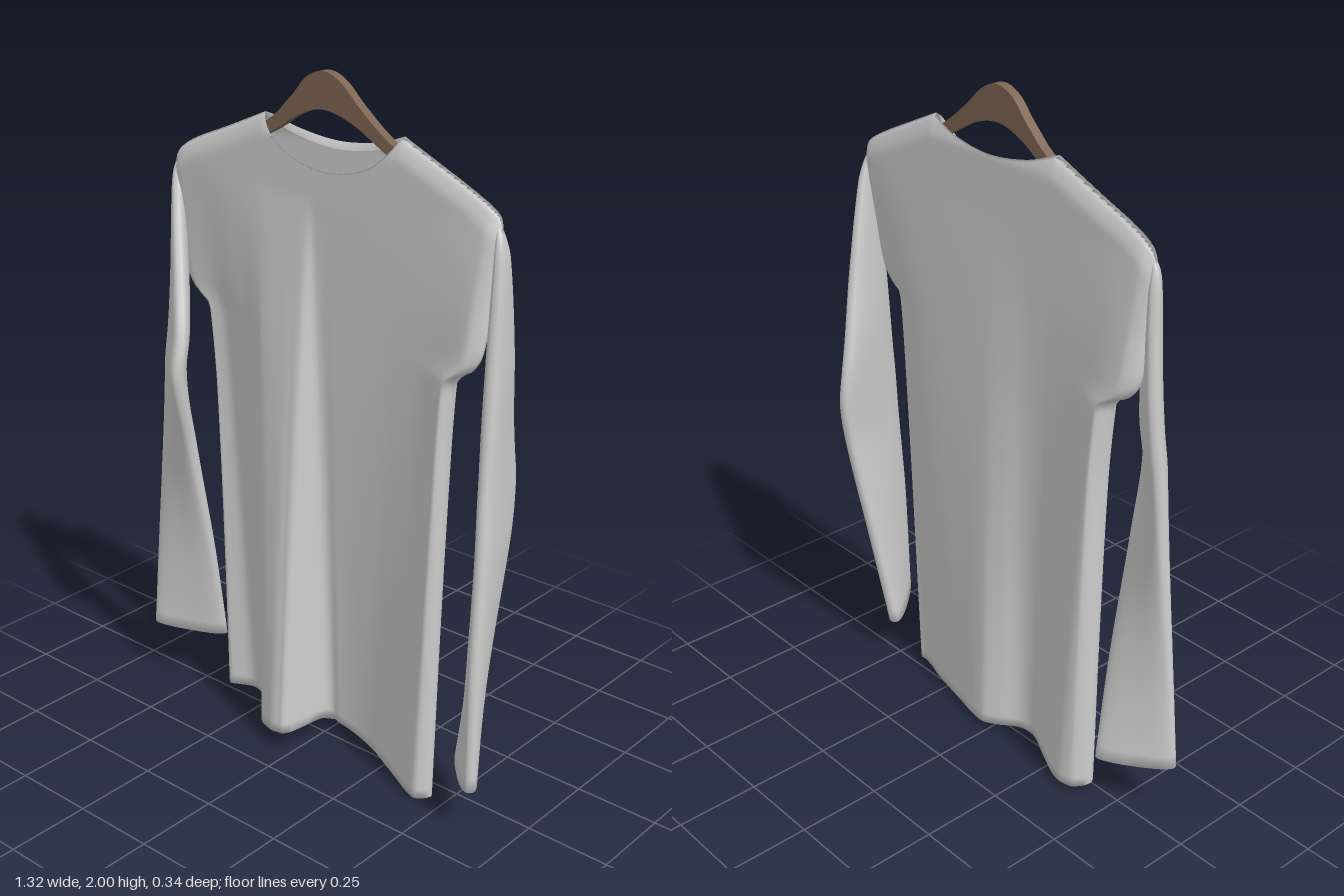
import * as THREE from 'three';

const fabric = new THREE.MeshStandardMaterial({ color: 0xcdcdcd, side: THREE.DoubleSide });
fabric.name = 'light grey fabric';
const wood = new THREE.MeshStandardMaterial({ color: 0x7d6552 });
wood.name = 'brown wood';

const lerp = THREE.MathUtils.lerp, clamp = THREE.MathUtils.clamp;

// Smooth interpolation through [t, value, value...] keys sorted by rising t
function track(keys, k = 1) {
  const slope = (i) => {
    const a = keys[Math.max(i - 1, 0)], b = keys[Math.min(i + 1, keys.length - 1)];
    return (b[k] - a[k]) / (b[0] - a[0]);
  };
  return (t) => {
    if (t <= keys[0][0]) return keys[0][k];
    if (t >= keys[keys.length - 1][0]) return keys[keys.length - 1][k];
    let i = 0;
    while (t > keys[i + 1][0]) i++;
    const p = keys[i], q = keys[i + 1], h = q[0] - p[0], s = (t - p[0]) / h;
    const s2 = s * s, s3 = s2 * s;
    return (2 * s3 - 3 * s2 + 1) * p[k] + (s3 - 2 * s2 + s) * h * slope(i)
      + (3 * s2 - 2 * s3) * q[k] + (s3 - s2) * h * slope(i + 1);
  };
}

// Skin over closed rings, listed from top to bottom
function loft(rings) {
  const n = rings[0].length, index = [];
  for (let i = 0; i < rings.length - 1; i++) {
    for (let j = 0; j < n; j++) {
      const a = i * n + j, b = i * n + (j + 1) % n;
      index.push(a, a + n, b, b, a + n, b + n);
    }
  }
  const g = new THREE.BufferGeometry();
  g.setAttribute('position', new THREE.Float32BufferAttribute(rings.flat(2), 3));
  g.setIndex(index);
  g.computeVertexNormals();
  return g;
}

function makeBody() {
  const X0 = -0.555, X1 = 0.595, N0 = -0.2, N1 = 0.28, RIDGE = 1.865;
  // Outline: shoulders, necklines, side seams
  const shoulderR = track([[N1, RIDGE], [0.4, 1.81], [0.5, 1.763], [0.56, 1.73], [0.585, 1.705], [X1, 1.66]]);
  const shoulderL = track([[X0, 1.65], [-0.545, 1.695], [-0.525, 1.722], [-0.47, 1.755], [-0.35, 1.803], [N0, RIDGE]]);
  const neckFront = track([[N0, RIDGE], [-0.16, 1.815], [-0.09, 1.766], [0.04, 1.74], [0.17, 1.766], [0.24, 1.815], [N1, RIDGE]]);
  const neckBack = track([[N0, RIDGE], [-0.1, 1.832], [0.04, 1.815], [0.18, 1.832], [N1, RIDGE]]);
  const left = track([[0, -0.41], [1, -0.42], [1.25, -0.44], [1.285, -0.455], [1.31, -0.505], [1.36, -0.535], [1.5, -0.543], [1.65, X0]]);
  const right = track([[0, 0.455], [1, 0.475], [1.25, 0.487], [1.285, 0.5], [1.31, 0.545], [1.36, 0.572], [1.5, 0.582], [1.66, X1]]);
  // Folds at the hem, front and back, and hem height
  const hemFront = track([[-0.41, 0.02], [-0.36, 0.0], [-0.3, -0.015], [-0.22, 0.02], [-0.195, 0.04], [-0.14, 0.13], [-0.085, 0.163],
    [-0.045, 0.168], [-0.014, 0.142], [0.002, 0.01], [0.05, -0.012], [0.18, 0.005], [0.3, 0.055], [0.41, 0.103], [0.455, 0.103]]);
  const hemBack = track([[-0.41, -0.068], [-0.33, -0.082], [-0.22, -0.035], [-0.14, 0.005], [-0.08, 0.003],
    [-0.02, -0.04], [0.03, -0.062], [0.16, -0.035], [0.3, 0.0], [0.4, 0.03], [0.455, 0.03]]);
  const lowFront = track([[-0.41, 0.02], [-0.2, 0.04], [-0.03, 0.058], [0.02, 0.05], [0.2, 0.025], [0.455, 0.005]]);
  const lowBack = track([[-0.41, 0.02], [0, 0.018], [0.455, 0.0]]);

  // Columns, denser at the side seams
  const xs = [];
  for (let i = 0; i < 20; i++) xs.push(lerp(X0, N0, (i / 20) ** 2));
  for (let i = 0; i < 64; i++) xs.push(lerp(N0, N1, i / 64));
  for (let i = 0; i <= 20; i++) xs.push(lerp(N1, X1, 1 - (1 - i / 20) ** 2));

  const ROWS = 76;
  // Row -1 is the turned-in collar, row ROWS + 1 the turned-in hem
  function point(xt, row, side) {
    const u = (xt - X0) / (X1 - X0), xh = lerp(-0.41, 0.455, u), outer = Math.abs(2 * u - 1);
    const inNeck = xt > N0 && xt < N1;
    const shoulder = xt <= N0 ? shoulderL(xt) : shoulderR(xt);
    const ridge = inNeck ? RIDGE : shoulder;
    const top = inNeck ? (side > 0 ? neckFront : neckBack)(xt) : shoulder;
    const low = (side > 0 ? lowFront : lowBack)(xh);
    const collar = row < 0, hem = row > ROWS;
    const y = collar ? top - 0.02 : hem ? low + 0.025 : lerp(top, low, (row / ROWS) ** 1.3);
    // Folds open evenly to the hem, but the side seams swing out by the armpit
    const seam = clamp((1.7 - y) / 0.42, 0, 1);
    const drop = lerp(clamp((1.66 - y) / 1.66, 0, 1), seam, outer ** 3);
    const f = lerp(0.04, hemFront(xh), drop), b = lerp(-0.015, hemBack(xh), drop ** 1.15);
    // Rounded over the shoulder ridge and the side seams
    const edge = Math.min(xt - X0, X1 - xt);
    const round = Math.sqrt(clamp((ridge - y) / 0.055, 0, 1) * clamp(edge / 0.035, 0, 1));
    const z = (f + b) / 2 + side * (f - b) / 2 * round * (collar || hem ? 0.6 : 1);
    // Only the outermost cloth follows the armpit notch
    const even = clamp(y / 1.65, 0, 1);
    const x = lerp(lerp(-0.41, X0, even), lerp(0.455, X1, even), u);
    const seamX = lerp(left(y), right(y), u);
    return [lerp(x, seamX, outer ** 4), y, z];
  }
  const rings = [];
  for (let r = -1; r <= ROWS + 1; r++) {
    rings.push([...xs.map((x) => point(x, r, 1)), ...xs.slice(1, -1).reverse().map((x) => point(x, r, -1))]);
  }
  return loft(rings);
}

// Flattened sleeve; keys: [y, inner x, inner z, outer x, outer z, half thickness]
function makeSleeve(keys, tilt) {
  const [ax, az, bx, bz, th] = [1, 2, 3, 4, 5].map((k) => track(keys, k));
  const low = keys[0][0], high = keys[keys.length - 1][0], ROWS = 52, SIDES = 40;
  const rings = [];
  for (let r = 0; r <= ROWS + 1; r++) {
    const lip = r > ROWS;
    const s = Math.min(1, r / ROWS) ** 1.4;
    const y = lerp(high, low, s) + (lip ? 0.025 : 0);
    const dx = (bx(y) - ax(y)) / 2, dz = (bz(y) - az(y)) / 2, len = Math.hypot(dx, dz);
    const k = lip ? 0.88 : 1, t = th(y) * (lip ? 0.6 : 1);
    const ring = [];
    for (let j = 0; j < SIDES; j++) {
      const a = j / SIDES * Math.PI * 2;
      const c = Math.sign(Math.cos(a)) * Math.abs(Math.cos(a)) ** 0.85 * k;
      const n = Math.sign(Math.sin(a)) * Math.abs(Math.sin(a)) ** 0.7 * t;
      ring.push([
        (ax(y) + bx(y)) / 2 + dx * c + dz / len * n,
        y + tilt * c * s,
        (az(y) + bz(y)) / 2 + dz * c - dx / len * n,
      ]);
    }
    rings.push(ring);
  }
  return loft(rings);
}

function makeHanger() {
  const top = [[-0.49, 1.69], [-0.2, 1.835], [-0.1, 1.915], [-0.04, 1.978], [0.02, 2], [0.08, 1.978], [0.15, 1.915], [0.26, 1.835], [0.53, 1.69]];
  const under = [[0.52, 1.665], [0.24, 1.81], [0.12, 1.875], [0.02, 1.9], [-0.07, 1.875], [-0.18, 1.81], [-0.48, 1.665]];
  const v = (list) => list.map(([x, y]) => new THREE.Vector2(x, y));
  const shape = new THREE.Shape();
  shape.moveTo(...top[0]);
  shape.splineThru(v(top.slice(1)));
  shape.lineTo(...under[0]);
  shape.splineThru(v(under.slice(1)));
  const g = new THREE.ExtrudeGeometry(shape, { depth: 0.028, bevelEnabled: false, curveSegments: 32 });
  g.translate(0, 0, 0.001);
  return g;
}

export function createModel() {
  const model = new THREE.Group();
  model.name = 'shirtOnHanger';
  const add = (name, geometry, material) => {
    const m = new THREE.Mesh(geometry, material);
    m.name = name;
    model.add(m);
  };
  add('shirtBody', makeBody(), fabric);
  add('leftSleeve', makeSleeve([
    [0.14, 0.49, -0.03, 0.652, 0.15, 0.028],
    [0.5, 0.515, -0.092, 0.64, 0.138, 0.029],
    [0.8, 0.53, -0.146, 0.628, 0.113, 0.029],
    [0.95, 0.522, -0.17, 0.62, 0.1, 0.029],
    [1.04, 0.518, -0.162, 0.616, 0.09, 0.029],
    [1.15, 0.525, -0.138, 0.612, 0.08, 0.029],
    [1.35, 0.552, -0.09, 0.606, 0.064, 0.026],
    [1.6, 0.575, -0.03, 0.6, 0.046, 0.017],
    [1.66, 0.575, -0.008, 0.593, 0.034, 0.011],
    [1.7, 0.572, 0.01, 0.576, 0.016, 0.001],
  ], 0.008), fabric);
  add('rightSleeve', makeSleeve([
    [0.17, -0.45, -0.045, -0.655, 0.07, 0.028],
    [0.5, -0.436, 0.02, -0.632, 0.055, 0.03],
    [0.85, -0.432, 0.1, -0.608, 0.03, 0.031],
    [1.08, -0.418, 0.165, -0.592, 0.01, 0.031],
    [1.2, -0.419, 0.145, -0.584, 0.0, 0.031],
    [1.35, -0.454, 0.108, -0.574, -0.008, 0.028],
    [1.6, -0.52, 0.046, -0.56, -0.008, 0.018],
    [1.66, -0.532, 0.03, -0.554, 0.0, 0.011],
    [1.7, -0.533, 0.016, -0.537, 0.01, 0.001],
  ], 0.01), fabric);
  add('hanger', makeHanger(), wood);
  return model;
}
